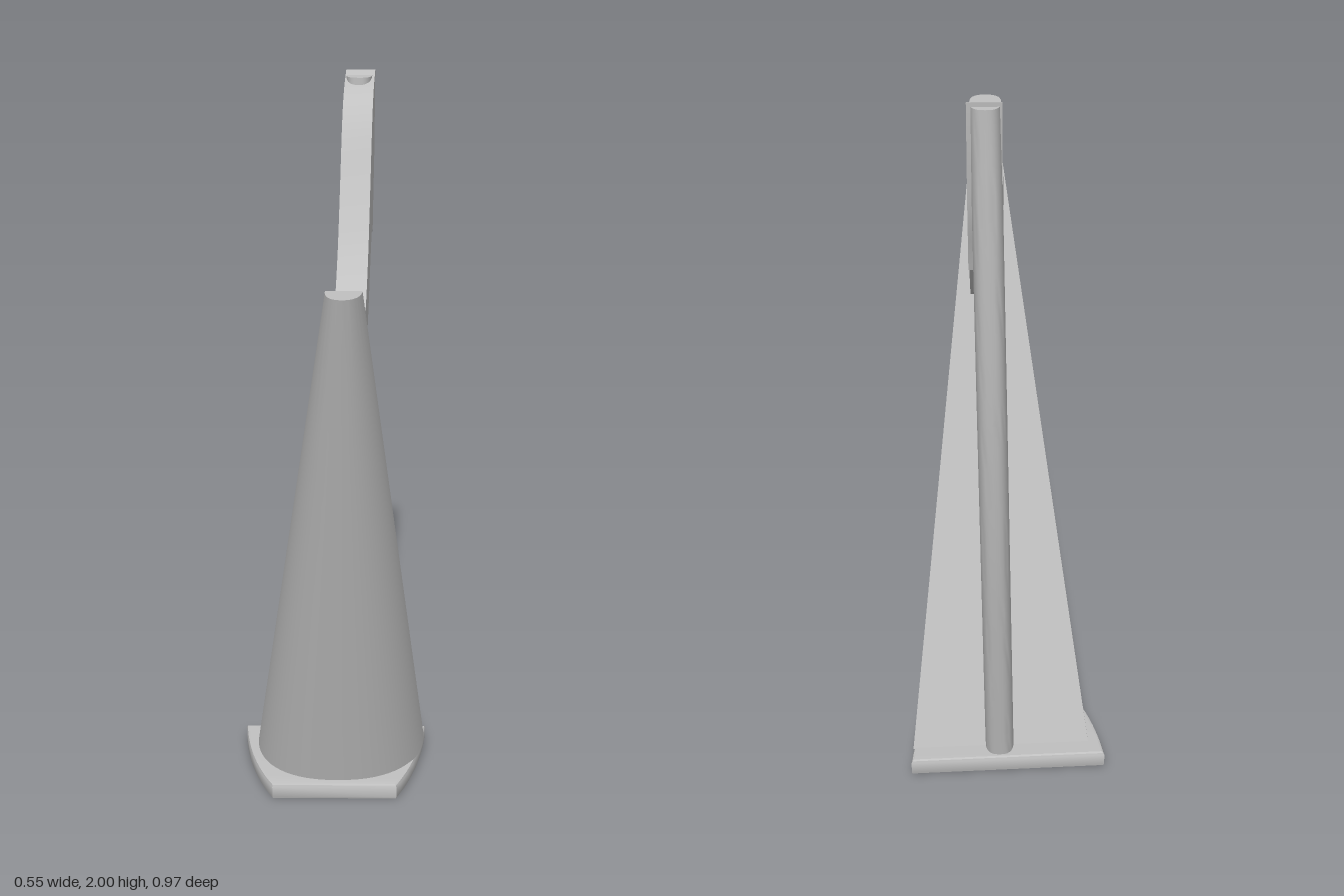
import * as THREE from 'three';
import { toCreasedNormals } from 'three/addons/utils/BufferGeometryUtils.js';

const lerp = THREE.MathUtils.lerp;

// Closed solid through horizontal rings (each counter-clockwise seen from above)
function loft(rings, crease) {
  const pos = [], idx = [], n = rings[0].length, last = rings.length - 1;
  rings.forEach(r => r.forEach(p => pos.push(p.x, p.y, p.z)));
  for (let j = 0; j < last; j++) for (let i = 0; i < n; i++) {
    const a = j * n + i, b = j * n + (i + 1) % n;
    idx.push(a, b, a + n, a + n, b, b + n);
  }
  for (const [j, up] of [[0, false], [last, true]]) {
    const c = new THREE.Vector3();
    rings[j].forEach(p => c.addScaledVector(p, 1 / n));
    const ci = pos.length / 3;
    pos.push(c.x, c.y, c.z);
    for (let i = 0; i < n; i++) {
      const a = j * n + i, b = j * n + (i + 1) % n;
      up ? idx.push(ci, a, b) : idx.push(ci, b, a);
    }
  }
  const g = new THREE.BufferGeometry();
  g.setAttribute('position', new THREE.Float32BufferAttribute(pos, 3));
  g.setIndex(idx);
  return toCreasedNormals(g, crease);
}

const power = (v, e) => Math.sign(v) * Math.abs(v) ** e;
const v2 = list => list.map(p => new THREE.Vector2(p[0], p[1]));

// Back plane of the soundbox at height y
const boardT = y => (y - 0.045) / 1.555;
const boardZ = y => lerp(-0.218, 0.405, boardT(y));
const boardX = y => lerp(0.02, 0.055, boardT(y));

// Lower edge of the neck as (z, y)
const neckLower = [[-0.365, 1.57], [-0.3, 1.585], [-0.22, 1.53], [-0.1, 1.42], [0.02, 1.345],
  [0.1, 1.33], [0.2, 1.355], [0.28, 1.42], [0.34, 1.49], [0.4, 1.57]];
function neckLowerY(z) {
  let i = 0;
  while (i < neckLower.length - 2 && neckLower[i + 1][0] < z) i++;
  const [a, b] = [neckLower[i], neckLower[i + 1]];
  return lerp(a[1], b[1], (z - a[0]) / (b[0] - a[0]));
}

export function createModel() {
  const harp = new THREE.Group();
  harp.name = 'harp';
  const grey = new THREE.MeshStandardMaterial({ color: 0xc0c0c0 });
  grey.name = 'lightGrey';
  const add = (name, geo, parent = harp) => {
    const m = new THREE.Mesh(geo, grey);
    m.name = name;
    parent.add(m);
    return m;
  };

  // Base plate: tapered towards the front, with bowed sides and a small bevel
  const plate = new THREE.Shape();
  plate.moveTo(-0.265, 0.25);
  plate.quadraticCurveTo(-0.24, 0.06, -0.16, -0.07);
  plate.lineTo(0.188, -0.053);
  plate.quadraticCurveTo(0.25, 0.09, 0.265, 0.28);
  plate.closePath();
  const baseGeo = new THREE.ExtrudeGeometry(plate, {
    depth: 0.032, bevelEnabled: true, bevelThickness: 0.008, bevelSize: 0.008, bevelSegments: 2, curveSegments: 12,
  });
  baseGeo.rotateX(-Math.PI / 2).translate(0, 0.008, 0);
  add('base', toCreasedNormals(baseGeo, 0.4));

  // Soundbox: flat back, rounded front, narrowing upwards
  const boxRings = [];
  for (let j = 0; j <= 8; j++) {
    const t = j / 8, ring = [];
    const half = lerp(0.25, 0.044, t), depth = lerp(0.26, 0.082, t);
    const y = lerp(0.045, 1.6, t), skew = lerp(0.05, 0.06, t);
    for (let i = 0; i <= 32; i++) {
      const a = Math.PI * i / 32;
      const dx = -half * power(Math.cos(a), 0.88);
      ring.push(new THREE.Vector3(boardX(y) + dx, y, boardZ(y) - dx * skew + depth * power(Math.sin(a), 0.88)));
    }
    boxRings.push(ring);
  }
  add('soundbox', loft(boxRings, 0.7));

  // Pillar: bowed column, stored as (front z, y, back z)
  const pillarPath = new THREE.CatmullRomCurve3([
    [-0.14, 0.045, -0.26], [-0.2, 0.4, -0.33], [-0.27, 0.8, -0.4], [-0.325, 1.2, -0.45],
    [-0.36, 1.6, -0.475], [-0.365, 1.99, -0.485],
  ].map(p => new THREE.Vector3(...p)));
  const pillarRings = pillarPath.getPoints(30).map(p => {
    const t = (p.y - 0.045) / 1.945, ring = [];
    const cx = lerp(0.024, 0.053, t), half = lerp(0.04, 0.035, t);
    for (let i = 0; i < 28; i++) {
      const a = 2 * Math.PI * i / 28;
      ring.push(new THREE.Vector3(cx + half * power(Math.cos(a), 0.75), p.y,
        (p.x + p.z) / 2 - (p.x - p.z) / 2 * power(Math.sin(a), 0.75)));
    }
    return ring;
  });
  add('pillar', loft(pillarRings, 0.8));

  // Neck: harmonic curve cut from a flat board
  const neck = new THREE.Shape();
  neck.moveTo(-0.365, 1.57);
  neck.splineThru(v2(neckLower.slice(1)));
  neck.splineThru(v2([[0.3, 1.555], [0.2, 1.492], [0.14, 1.47], [0.06, 1.493], [-0.05, 1.585],
    [-0.15, 1.725], [-0.25, 1.885], [-0.34, 1.96], [-0.46, 2]]));
  neck.lineTo(-0.44, 1.77);
  neck.lineTo(-0.39, 1.65);
  neck.closePath();
  const neckGeo = new THREE.ExtrudeGeometry(neck, { depth: 0.08, bevelEnabled: false, curveSegments: 5 });
  neckGeo.rotateY(-Math.PI / 2).translate(0.095, 0, 0);
  add('neck', toCreasedNormals(neckGeo, 0.5));

  // Strings: from the soundboard to the right face of the neck
  const strings = new THREE.Group();
  strings.name = 'strings';
  harp.add(strings);
  const count = 36, up = new THREE.Vector3(0, 1, 0);
  for (let i = 0; i < count; i++) {
    const t = i / (count - 1);
    const y0 = lerp(1.4, 0.33, t), z1 = lerp(0.31, -0.33, t);
    const rise = 0.01 + 0.2 * Math.max(0, (t - 0.55) / 0.45);
    const a = new THREE.Vector3(boardX(y0), y0, boardZ(y0));
    const b = new THREE.Vector3(0.012, neckLowerY(z1) + rise, z1);
    const dir = b.clone().sub(a);
    const s = add('string', new THREE.CylinderGeometry(0.0013, 0.0013, dir.length(), 5), strings);
    s.position.copy(a).add(b).multiplyScalar(0.5);
    s.quaternion.setFromUnitVectors(up, dir.normalize());
  }
  return harp;
}
